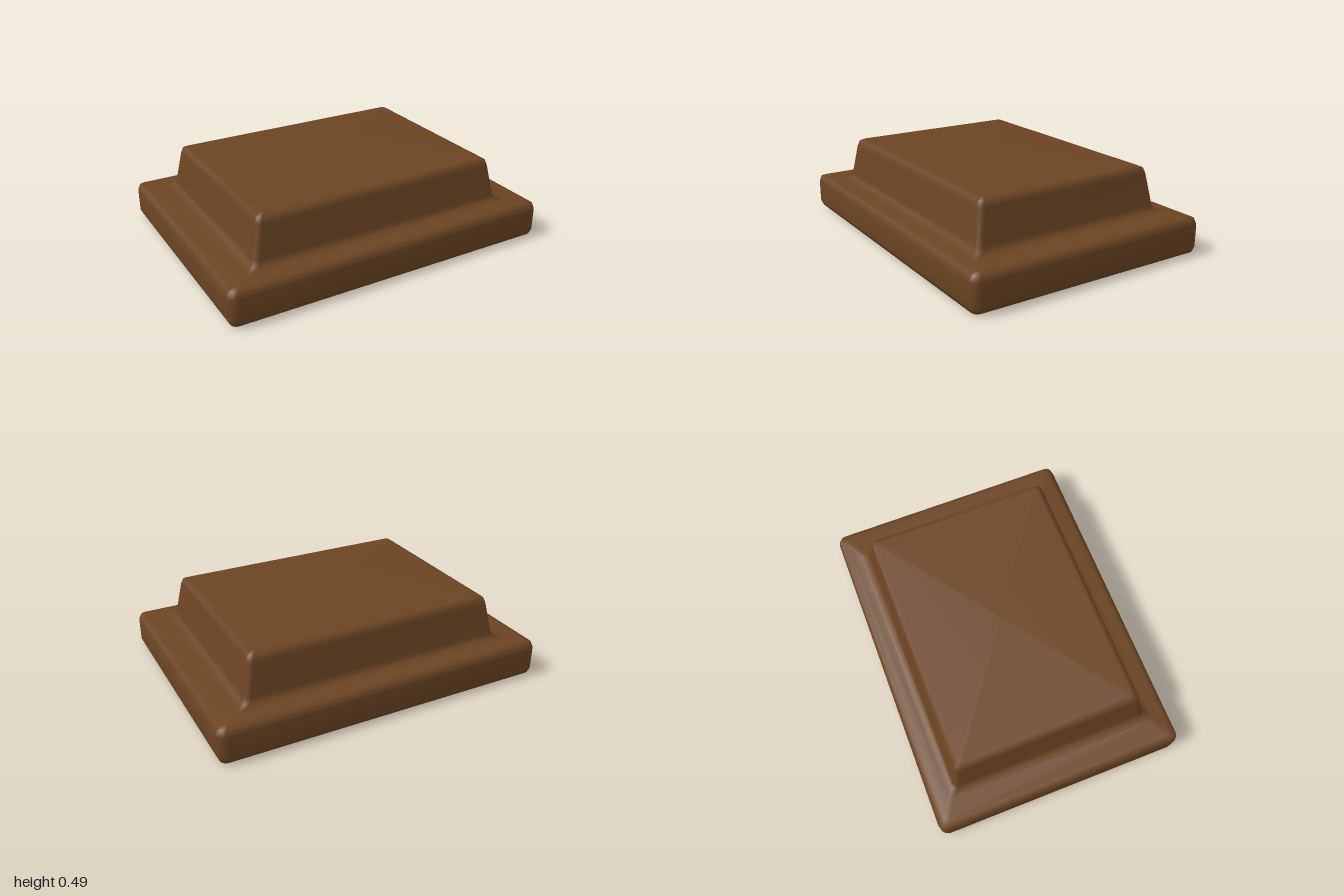
import * as THREE from 'three';

const CORNER_STEPS = 3;

// One rounded-rectangle loop: half width, half depth, corner radius, height
function ring([hx, hz, r, y]) {
  const points = [];
  for (let q = 0; q < 4; q++) {
    const sx = q === 0 || q === 3 ? 1 : -1;
    const sz = q < 2 ? 1 : -1;
    for (let s = 0; s <= CORNER_STEPS; s++) {
      const a = (q + s / CORNER_STEPS) * Math.PI / 2;
      points.push(sx * (hx - r) + r * Math.cos(a), y, sz * (hz - r) + r * Math.sin(a));
    }
  }
  return points;
}

// Skin the loops from bottom to top and close both ends
function loft(sections) {
  const n = 4 * (CORNER_STEPS + 1);
  const positions = sections.flatMap(ring);
  const index = [];
  for (let i = 0; i < sections.length - 1; i++) {
    for (let j = 0; j < n; j++) {
      const k = (j + 1) % n;
      const a = i * n + j, b = i * n + k;
      index.push(a, a + n, b, b, a + n, b + n);
    }
  }
  const last = (sections.length - 1) * n;
  const bottom = sections.length * n, top = bottom + 1;
  positions.push(0, sections[0][3], 0, 0, sections[sections.length - 1][3], 0);
  for (let j = 0; j < n; j++) {
    const k = (j + 1) % n;
    index.push(bottom, j, k, top, last + k, last + j);
  }
  const geometry = new THREE.BufferGeometry();
  geometry.setAttribute('position', new THREE.Float32BufferAttribute(positions, 3));
  geometry.setIndex(index);
  geometry.computeVertexNormals();
  return geometry;
}

export function createModel() {
  const group = new THREE.Group();
  group.name = 'steppedPlinth';
  const brown = new THREE.MeshStandardMaterial({ color: 0x6b4423 });
  brown.name = 'brown';

  // Slab with softened edges, flowing through a small fillet into the tapered block
  const plinth = new THREE.Mesh(loft([
    [0.95, 0.70, 0.02, 0],
    [0.985, 0.735, 0.035, 0.012],
    [1, 0.75, 0.05, 0.045],
    [1, 0.75, 0.05, 0.175],
    [0.985, 0.735, 0.035, 0.21],
    [0.955, 0.705, 0.02, 0.22],
    [0.84, 0.64, 0.02, 0.22],
    [0.805, 0.605, 0.03, 0.232],
    [0.788, 0.59, 0.03, 0.26],
    [0.753, 0.561, 0.03, 0.445],
    [0.742, 0.548, 0.025, 0.477],
    [0.71, 0.52, 0.015, 0.49],
  ]), brown);
  plinth.name = 'slabAndTaperedBlock';
  group.add(plinth);
  return group;
}
